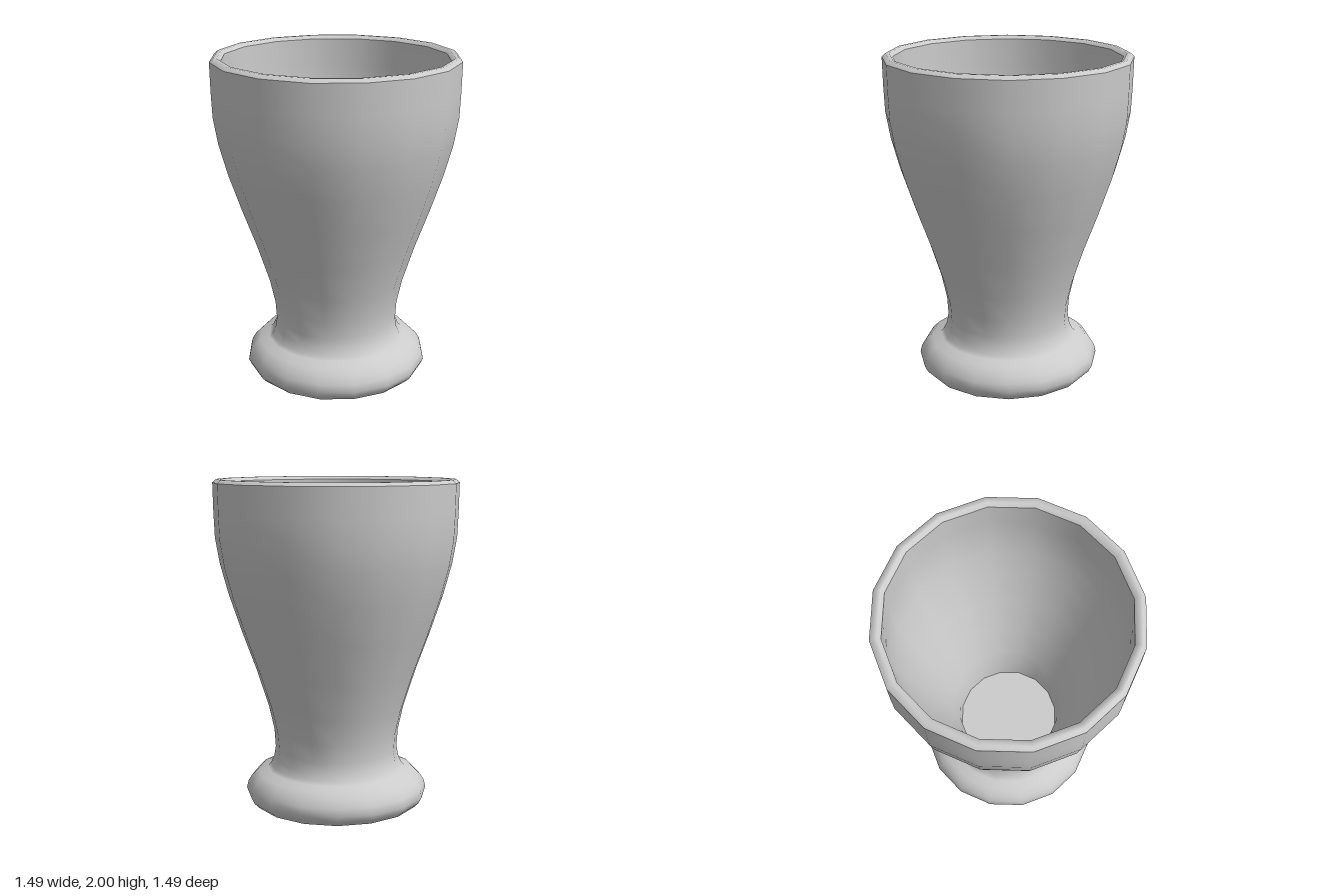
import * as THREE from 'three';

const SIDES = 16;

export function createModel() {
  const group = new THREE.Group();
  group.name = 'cup';
  const material = new THREE.MeshStandardMaterial({ color: 0xcccccc });

  // Each part is turned from a profile of [radius, height]; separate parts keep the edges between them sharp.
  const turn = (name, profile) => {
    const points = profile.map(([r, y]) => new THREE.Vector2(r, y));
    const mesh = new THREE.Mesh(new THREE.LatheGeometry(points, SIDES), material);
    mesh.name = name;
    group.add(mesh);
  };

  // Flat underside
  turn('underside', [[0, 0], [0.515, 0]]);

  // Rounded foot flowing through the neck into the flared bowl
  turn('footAndOuterWall', [
    [0.515, 0], [0.545, 0.03], [0.565, 0.07], [0.555, 0.115], [0.53, 0.155], [0.49, 0.195],
    [0.43, 0.215], [0.41, 0.235], [0.39, 0.28], [0.38, 0.34], [0.387, 0.45], [0.42, 0.6],
    [0.493, 0.83], [0.58, 1.07], [0.657, 1.3], [0.708, 1.49], [0.735, 1.65], [0.741, 1.8],
    [0.744, 1.98],
  ]);

  // Softly bevelled lip
  turn('rim', [[0.744, 1.98], [0.722, 2], [0.7, 2], [0.68, 1.98]]);

  // Hollow inside, following the outer wall
  turn('innerWall', [
    [0.68, 1.98], [0.678, 1.8], [0.672, 1.66], [0.646, 1.51], [0.597, 1.32], [0.521, 1.09],
    [0.434, 0.85], [0.36, 0.62], [0.325, 0.46], [0.317, 0.34],
  ]);

  // Flat floor of the hollow
  turn('innerFloor', [[0.317, 0.34], [0, 0.34]]);

  return group;
}
